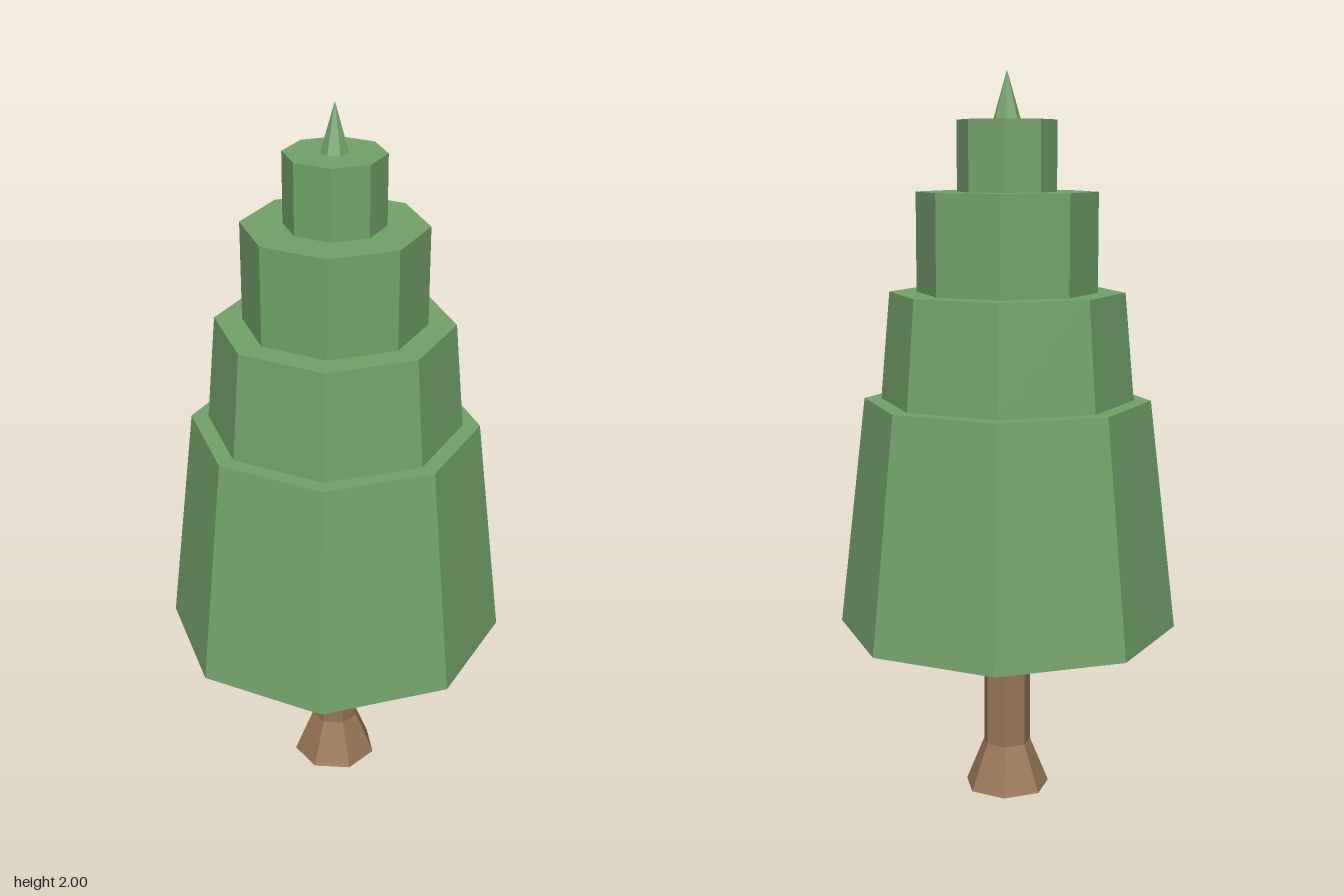
import * as THREE from 'three';

const foliageGreen = new THREE.MeshStandardMaterial({ color: 0x74a36c, flatShading: true });
foliageGreen.name = 'foliage green';
const barkBrown = new THREE.MeshStandardMaterial({ color: 0x967657, flatShading: true });
barkBrown.name = 'bark brown';

// A faceted tapered prism standing between two heights
function prism(name, material, sides, y0, y1, rBottom, rTop, turn = 0) {
  const geometry = new THREE.CylinderGeometry(rTop, rBottom, y1 - y0, sides);
  geometry.rotateY(turn);
  geometry.translate(0, (y0 + y1) / 2, 0);
  const mesh = new THREE.Mesh(geometry, material);
  mesh.name = name;
  return mesh;
}

export function createModel() {
  const tree = new THREE.Group();
  tree.name = 'tree';

  // Seven-sided trunk with a flared foot, flat side to the front
  tree.add(prism('trunkFoot', barkBrown, 7, 0, 0.13, 0.12, 0.067, Math.PI));
  tree.add(prism('trunk', barkBrown, 7, 0.13, 0.48, 0.067, 0.067, Math.PI));

  // Stacked octagonal foliage tiers: bottom y, top y, bottom radius, top radius
  const tiers = [
    [0.475, 1.115, 0.47, 0.395],
    [1.115, 1.41, 0.348, 0.322],
    [1.41, 1.68, 0.247, 0.247],
    [1.68, 1.87, 0.135, 0.135],
  ];
  tiers.forEach((tier, i) => tree.add(prism(`foliageTier${i + 1}`, foliageGreen, 8, ...tier)));

  // Small pointed tip
  tree.add(prism('tip', foliageGreen, 7, 1.87, 2, 0.038, 0, Math.PI));
  return tree;
}
